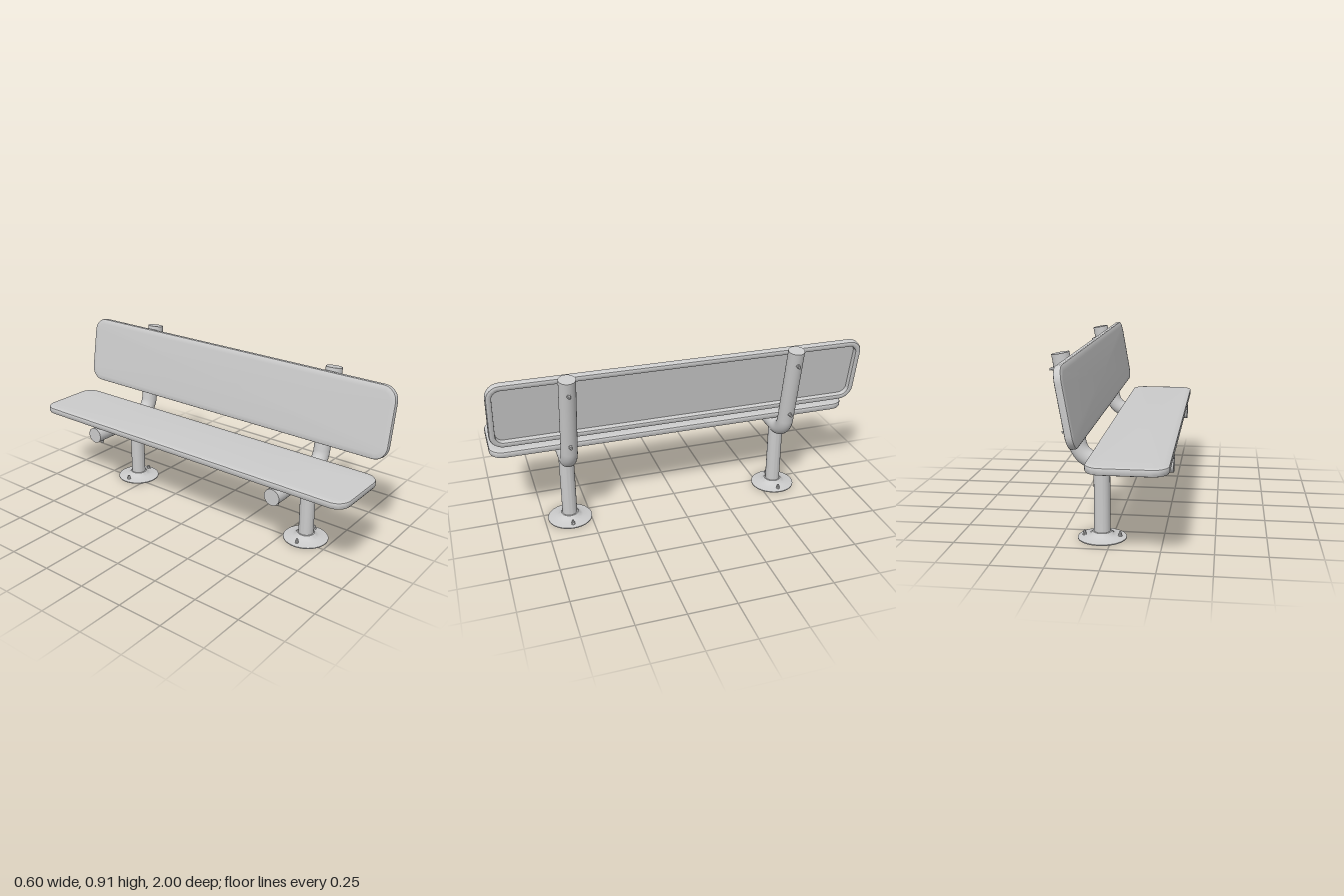
import * as THREE from 'three';
import { toCreasedNormals } from 'three/addons/utils/BufferGeometryUtils.js';

const mat = new THREE.MeshStandardMaterial({ color: 0xcccccc });
const hollowMat = new THREE.MeshStandardMaterial({ color: 0xcccccc, side: THREE.DoubleSide });

const TILT = THREE.MathUtils.degToRad(10); // lean of the backrest
const TUBE_R = 0.0435;
const TUBE_Y = 0.387;
const POST_X = 0.05;
const CORNER = new THREE.Vector3(0.152, TUBE_Y, 0); // where the two tube axes meet
const UP = new THREE.Vector3(Math.sin(TILT), Math.cos(TILT), 0); // backrest tube axis
const BACK = new THREE.Vector3(Math.cos(TILT), -Math.sin(TILT), 0); // out of the back

function part(name, geometry, material = mat) {
  const mesh = new THREE.Mesh(geometry, material);
  mesh.name = name;
  return mesh;
}

// Rounded tray: loops of a rounded rectangle, each [inset, height],
// running from the recessed underside around the rim to the top face.
function trayGeometry() {
  const halfW = 0.1875, halfL = 1, radius = 0.075, steps = 10;
  const profile = [
    [0.032, 0.027], [0.03, 0.002], [0.027, 0], [0.012, 0], [0.004, 0.003], [0, 0.01],
    [0, 0.029], [0.002, 0.034], [0.007, 0.0365], [0.03, 0.038],
  ];
  const corners = [[1, 1], [-1, 1], [-1, -1], [1, -1]];
  const loops = profile.map(([inset, y]) => {
    const r = radius - inset, loop = [];
    corners.forEach(([sx, sz], q) => {
      for (let i = 0; i <= steps; i++) {
        const a = (q + i / steps) * Math.PI / 2;
        loop.push([
          sx * (halfW - radius) + r * Math.cos(a), y,
          sz * (halfL - radius) + r * Math.sin(a),
        ]);
      }
    });
    return loop;
  });
  const n = loops[0].length, pos = [];
  const tri = (a, b, c) => pos.push(...a, ...b, ...c);
  const last = loops.length - 1;
  for (let k = 0; k < n; k++) {
    const m = (k + 1) % n;
    for (let j = 0; j < last; j++) {
      tri(loops[j][k], loops[j + 1][k], loops[j + 1][m]);
      tri(loops[j][k], loops[j + 1][m], loops[j][m]);
    }
    tri([0, profile[0][1], 0], loops[0][k], loops[0][m]);
    tri([0, profile[last][1], 0], loops[last][m], loops[last][k]);
  }
  const g = new THREE.BufferGeometry();
  g.setAttribute('position', new THREE.Float32BufferAttribute(pos, 3));
  return toCreasedNormals(g, 0.6);
}

// Nut with a protruding stud, standing along the given direction
function bolt(name, position, direction) {
  const g = new THREE.Group();
  g.name = name;
  const washer = part('washer', new THREE.CylinderGeometry(0.011, 0.011, 0.006, 16));
  const nut = part('nut', new THREE.CylinderGeometry(0.0095, 0.0095, 0.012, 6).toNonIndexed());
  nut.geometry.computeVertexNormals();
  nut.position.y = 0.007;
  const stud = part('stud', new THREE.CylinderGeometry(0.0055, 0.006, 0.012, 12));
  stud.position.y = 0.016;
  g.add(washer, nut, stud);
  g.position.copy(position);
  g.quaternion.setFromUnitVectors(new THREE.Vector3(0, 1, 0), direction);
  return g;
}

// Bent tube carrying seat and backrest, with flat end caps
function bentTube() {
  const g = new THREE.Group();
  g.name = 'bentTube';
  const bendR = 0.105, turn = Math.PI / 2 - TILT;
  const t = bendR * Math.tan(turn / 2);
  const k = bendR * (4 / 3) * Math.tan(turn / 4);
  const X = new THREE.Vector3(1, 0, 0);
  const along = (p, d, s) => p.clone().addScaledVector(d, s);
  const start = new THREE.Vector3(-0.298, TUBE_Y, 0);
  const a = along(CORNER, X, -t), b = along(CORNER, UP, t);
  const end = along(CORNER, UP, 0.527);
  const path = new THREE.CurvePath();
  path.add(new THREE.LineCurve3(start, a));
  path.add(new THREE.CubicBezierCurve3(a, along(a, X, k), along(b, UP, -k), b));
  path.add(new THREE.LineCurve3(b, end));
  g.add(part('tube', new THREE.TubeGeometry(path, 110, TUBE_R, 32)));
  const Z = new THREE.Vector3(0, 0, 1);
  [[start, X.clone().negate()], [end, UP]].forEach(([p, d]) => {
    const cap = part('endCap', new THREE.CircleGeometry(TUBE_R, 32));
    cap.position.copy(p);
    cap.quaternion.setFromUnitVectors(Z, d);
    g.add(cap);
  });
  return g;
}

function lathe(points) {
  const g = new THREE.LatheGeometry(points.map(([x, y]) => new THREE.Vector2(x, y)), 40);
  return toCreasedNormals(g, 0.5);
}

// One leg: post, floor flange, bent tube and its fasteners
function support(name) {
  const g = new THREE.Group();
  g.name = name;
  const post = part('post', lathe([
    [0.032, 0.37], [0.032, 0.012], [0.04, 0.012], [0.04, TUBE_Y - 0.005],
  ]), hollowMat);
  const flange = part('floorFlange', lathe([
    [0.034, 0.026], [0.054, 0.012], [0.056, 0], [0.12, 0], [0.12, 0.005], [0.1, 0.009],
    [0.07, 0.014], [0.058, 0.02], [0.05, 0.03], [0.046, 0.034], [0.039, 0.035],
  ]), hollowMat);
  post.position.x = flange.position.x = POST_X;
  g.add(post, flange, bentTube());

  const up = new THREE.Vector3(0, 1, 0), down = new THREE.Vector3(0, -1, 0);
  for (const s of [-1, 1]) {
    g.add(bolt('flangeBolt', new THREE.Vector3(POST_X + s * 0.088, 0.01, 0), up));
  }
  for (const x of [-0.243, -0.025]) {
    g.add(bolt('seatBolt', new THREE.Vector3(x, TUBE_Y - TUBE_R, 0), down));
  }
  for (const s of [0.149, 0.458]) {
    const p = CORNER.clone().addScaledVector(UP, s).addScaledVector(BACK, TUBE_R);
    g.add(bolt('backrestBolt', p, BACK));
  }
  return g;
}

export function createModel() {
  const model = new THREE.Group();
  model.name = 'bench';

  const tray = trayGeometry();
  const seat = part('seat', tray);
  seat.position.set(-0.114, 0.433, 0);
  const backrest = part('backrest', tray);
  backrest.position.set(0.168, 0.712, 0);
  backrest.rotation.z = Math.PI / 2 - TILT;
  model.add(seat, backrest);

  [['leftSupport', 0.612], ['rightSupport', -0.588]].forEach(([name, z]) => {
    const s = support(name);
    s.position.z = z;
    model.add(s);
  });
  return model;
}
